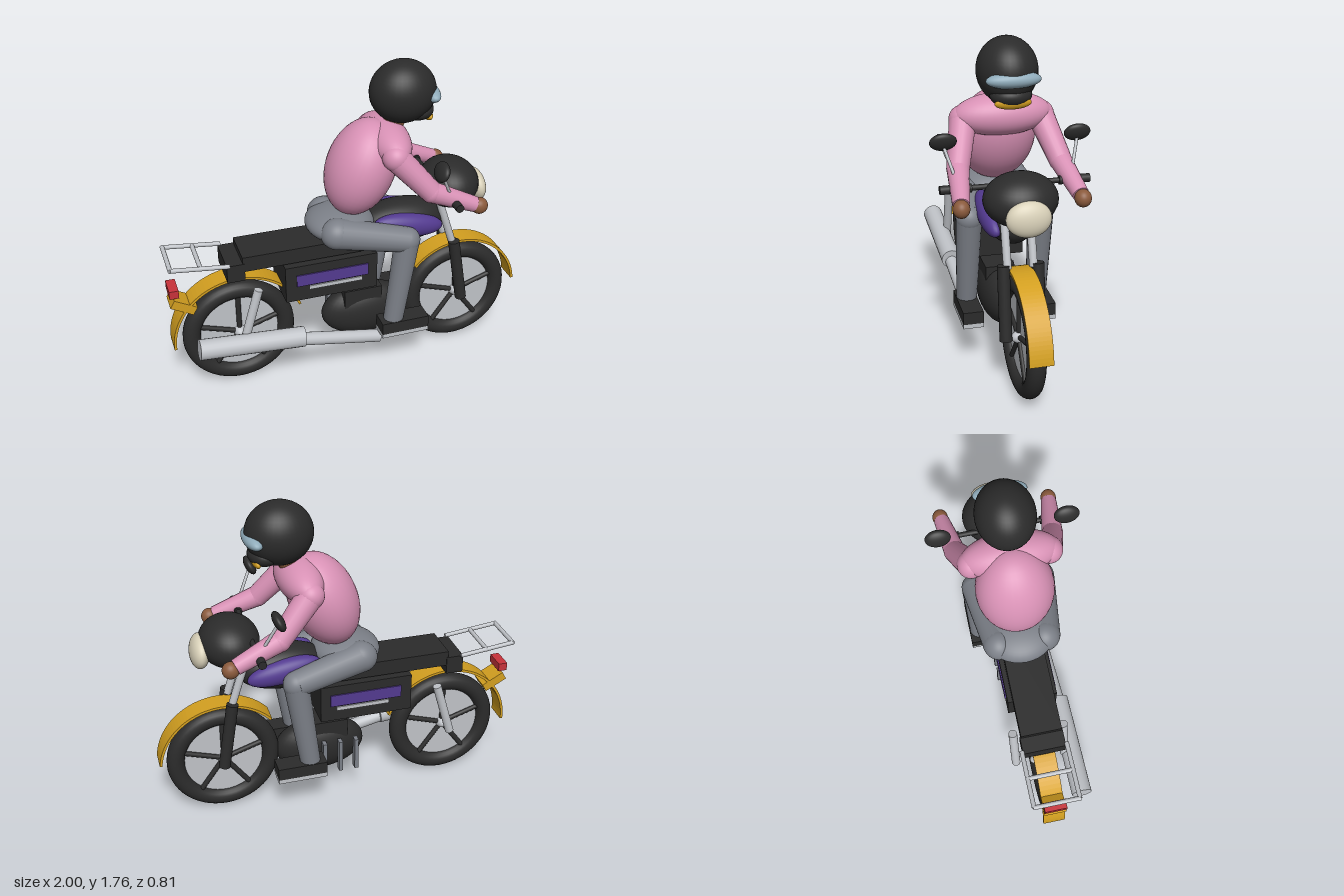
import * as THREE from 'three';

const mat = (name, color) => { const m = new THREE.MeshStandardMaterial({ color }); m.name = name; return m; };

export function createModel() {
  const model = new THREE.Group();
  const black = mat('black', 0x2b2b2b), gold = mat('gold', 0xd4a020), pink = mat('pink', 0xd891b5);
  const grey = mat('grey', 0x7c8088), silver = mat('silver', 0xc0c3c8), purple = mat('purple', 0x533a90);
  const skin = mat('skin', 0x8a5a3c), cream = mat('cream', 0xd8d0b8), red = mat('red', 0xc8323a);
  const glass = mat('glass', 0x8fabba);

  const add = (name, geo, m, x = 0, y = 0, z = 0) => {
    const mesh = new THREE.Mesh(geo, m);
    mesh.name = name;
    mesh.position.set(x, y, z);
    model.add(mesh);
    return mesh;
  };
  const box = (name, m, [x, y, z], [w, h, d], tilt = 0) => {
    const b = add(name, new THREE.BoxGeometry(w, h, d), m, x, y, z);
    b.rotation.z = tilt;
    return b;
  };
  const ball = (name, m, [x, y, z], [rx, ry, rz], tilt = 0) => {
    const b = add(name, new THREE.SphereGeometry(1, 36, 24), m, x, y, z);
    b.scale.set(rx, ry, rz);
    b.rotation.z = tilt;
    return b;
  };
  // Tapered rod between two points
  const rod = (name, m, from, to, r0, r1 = r0) => {
    const a = new THREE.Vector3(...from), b = new THREE.Vector3(...to), d = b.clone().sub(a);
    const c = add(name, new THREE.CylinderGeometry(r1, r0, d.length(), 20), m);
    c.position.copy(a).add(b).multiplyScalar(0.5);
    c.quaternion.setFromUnitVectors(new THREE.Vector3(0, 1, 0), d.normalize());
    return c;
  };

  // Wheels: tyre, disc, five spokes on each face and a hub
  for (const [name, x] of [['rear', -0.63], ['front', 0.645]]) {
    const y = 0.312;
    add(name + 'Tyre', new THREE.TorusGeometry(0.262, 0.049, 20, 56), black, x, y, 0);
    add(name + 'Disc', new THREE.CylinderGeometry(0.23, 0.23, 0.03, 40), silver, x, y, 0).rotation.x = Math.PI / 2;
    for (let i = 0; i < 5; i++) {
      const a = Math.PI / 2 + i * Math.PI * 2 / 5, c = Math.cos(a), s = Math.sin(a);
      for (const z of [-0.018, 0.018])
        rod(name + 'Spoke', black, [x + 0.02 * c, y + 0.02 * s, z], [x + 0.225 * c, y + 0.225 * s, z], 0.014);
    }
    ball(name + 'Hub', silver, [x, y, 0], [0.035, 0.035, 0.06]);
  }

  // Mudguards: thin arcs extruded across the wheel
  const fender = (name, x, r, a0, a1) => {
    const s = new THREE.Shape();
    s.absarc(0, 0, r, a0, a1, false);
    s.absarc(0, 0, r - 0.014, a1, a0, true);
    add(name, new THREE.ExtrudeGeometry(s, { depth: 0.12, bevelEnabled: false, curveSegments: 20 }), gold, x, 0.312, -0.06);
  };
  fender('rearFender', -0.63, 0.367, 0.37, 3.19);
  fender('frontFender', 0.645, 0.355, 0.1, 2.43);

  // Tail
  box('plateHolder', gold, [-0.925, 0.555, 0], [0.135, 0.05, 0.12], -0.5);
  box('tailLight', red, [-0.97, 0.645, 0], [0.05, 0.046, 0.12]);
  for (const z of [-0.12, 0.12]) rod('rackRail', silver, [-0.985, 0.835, z], [-0.68, 0.8, z], 0.012);
  for (const [x, y] of [[-0.985, 0.835], [-0.83, 0.817]]) rod('rackBar', silver, [x, y, -0.125], [x, y, 0.125], 0.012);

  // Body
  box('seat', black, [-0.25, 0.788, 0], [0.72, 0.085, 0.22]);
  box('seatEnd', black, [-0.648, 0.746, 0], [0.095, 0.1, 0.23]);
  box('bodyBox', black, [-0.134, 0.627, 0], [0.513, 0.213, 0.27]);
  ball('tank', black, [0.3, 0.838, 0], [0.255, 0.125, 0.13]);
  for (const s of [-1, 1]) {
    box('sidePanel', purple, [-0.13, 0.646, s * 0.138], [0.4, 0.068, 0.008]);
    box('sideTrim', silver, [-0.112, 0.594, s * 0.138], [0.295, 0.022, 0.008]);
    ball('tankPanel', purple, [0.312, 0.855, s * 0.1], [0.2, 0.068, 0.058], -0.18);
    rod('rearShock', silver, [-0.63, 0.33, s * 0.14], [-0.54, 0.64, s * 0.14], 0.024);
  }

  // Engine
  ball('engine', black, [0.1, 0.302, 0], [0.255, 0.16, 0.105]);
  box('cylinderBlock', black, [0.065, 0.42, 0], [0.215, 0.11, 0.16]);
  for (let i = 0; i < 4; i++) box('engineFin', grey, [-0.08 + i * 0.09, 0.275, -0.12], [0.022, 0.19, 0.04]);

  // Exhaust
  rod('muffler', silver, [-0.883, 0.358, 0.182], [-0.31, 0.308, 0.175], 0.056);
  rod('exhaustPipe', silver, [-0.33, 0.295, 0.175], [0.13, 0.2, 0.16], 0.036);

  // Front end
  ball('headlampShell', black, [0.578, 1.03, 0], [0.16, 0.135, 0.186]);
  ball('headlampLens', cream, [0.733, 0.99, 0], [0.053, 0.09, 0.112], 0.12);
  rod('handlebar', black, [0.48, 1.07, -0.36], [0.48, 1.07, 0.36], 0.014);
  for (const s of [-1, 1]) {
    rod('lowerFork', black, [0.655, 0.305, s * 0.088], [0.592, 0.69, s * 0.088], 0.032);
    rod('upperFork', silver, [0.592, 0.67, s * 0.066], [0.465, 1.06, s * 0.066], 0.021);
    rod('grip', black, [0.48, 1.07, s * 0.22], [0.48, 1.07, s * 0.377], 0.022);
    rod('mirrorStem', silver, [0.48, 1.07, s * 0.28], [0.39, 1.26, s * 0.337], 0.008);
    ball('mirror', black, [0.385, 1.28, s * 0.338], [0.027, 0.052, 0.068], -0.45);
  }

  // Rider: body
  ball('hips', grey, [-0.05, 0.895, 0], [0.185, 0.088, 0.2]);
  ball('torso', pink, [0.07, 1.2, 0], [0.18, 0.27, 0.205], -0.38);
  ball('shoulders', pink, [0.2, 1.345, 0], [0.12, 0.11, 0.255]);
  rod('neck', skin, [0.22, 1.38, 0], [0.29, 1.52, 0], 0.058);

  // Rider: helmet
  ball('helmet', black, [0.295, 1.595, 0], [0.177, 0.167, 0.152]);
  ball('visor', glass, [0.43, 1.58, 0], [0.053, 0.042, 0.137], 0.1);
  ball('chinGuard', black, [0.375, 1.492, 0], [0.085, 0.058, 0.105]);
  ball('chinStripe', gold, [0.422, 1.463, 0], [0.024, 0.032, 0.092], -0.3);

  // Rider: limbs
  for (const s of [-1, 1]) {
    const shoulder = [0.19, 1.325, s * 0.2], elbow = [0.365, 1.13, s * 0.262], hand = [0.625, 1.025, s * 0.3];
    ball('shoulderJoint', pink, shoulder, [0.072, 0.072, 0.072]);
    rod('upperArm', pink, shoulder, elbow, 0.07, 0.058);
    ball('elbow', pink, elbow, [0.058, 0.058, 0.058]);
    rod('forearm', pink, elbow, [0.6, 1.035, s * 0.296], 0.057, 0.042);
    ball('hand', skin, hand, [0.045, 0.045, 0.042]);

    const hip = [-0.1, 0.89, s * 0.125], knee = [0.27, 0.82, s * 0.19];
    ball('hipJoint', grey, hip, [0.09, 0.085, 0.085]);
    rod('thigh', grey, hip, knee, 0.085, 0.07);
    ball('knee', grey, knee, [0.07, 0.07, 0.068]);
    rod('shin', grey, [0.2, 0.32, s * 0.192], knee, 0.055, 0.068);
    box('shoe', black, [0.255, 0.3, s * 0.195], [0.27, 0.068, 0.108]);
    box('sole', silver, [0.255, 0.254, s * 0.195], [0.27, 0.024, 0.108]);
  }
  return model;
}
